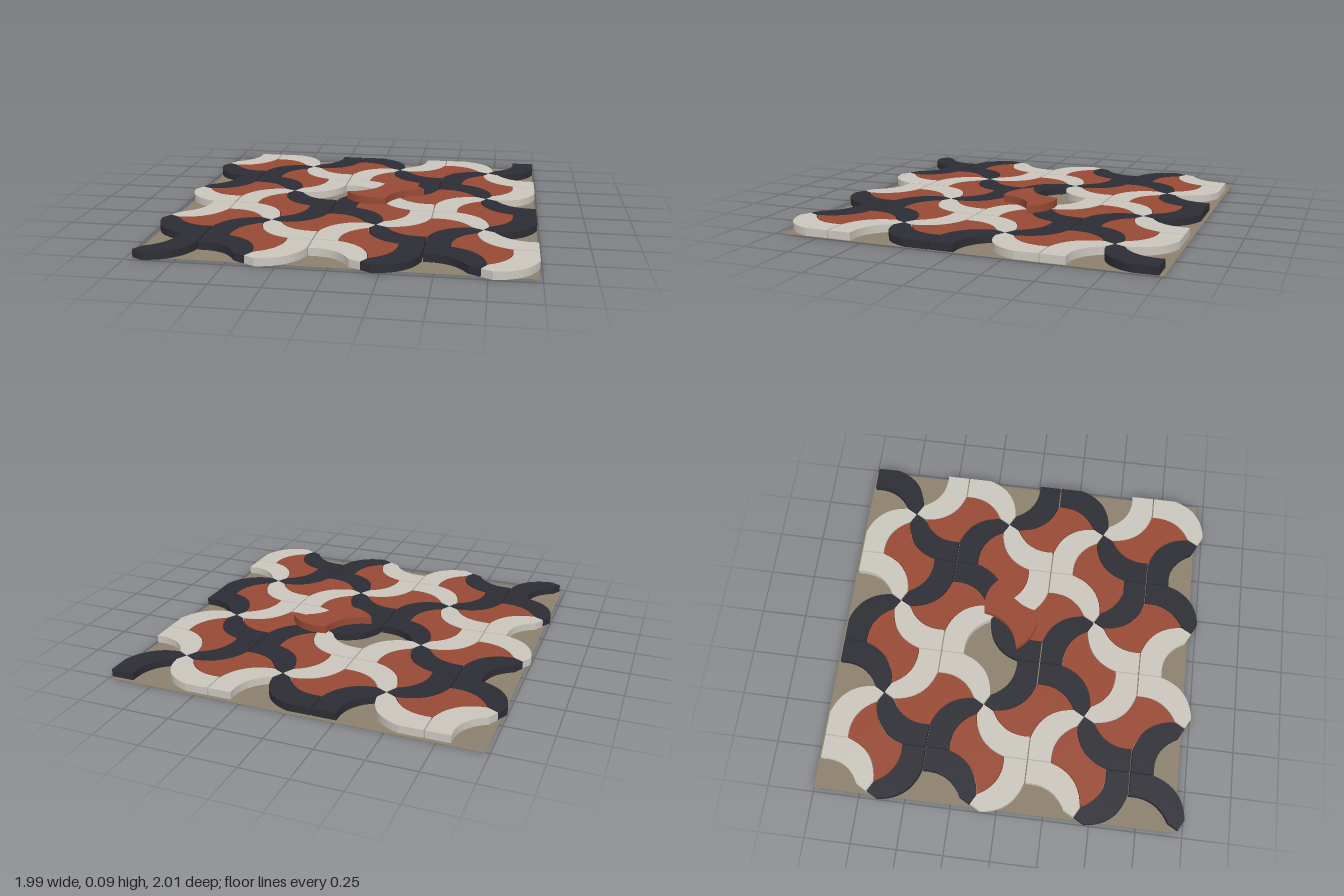
import * as THREE from 'three';

const STEP = 0.561, HALF = STEP / 2;   // lattice spacing of the tile crosses
const X0 = -0.689, Z0 = -0.989;        // first cross centre
const BOTTOM = 0.004, THICK = 0.041, INSET = 0.978;

const mat = (name, color, side = THREE.FrontSide) => {
  const m = new THREE.MeshStandardMaterial({ color, side });
  m.name = name;
  return m;
};

// Extrudes a plan shape upward and shrinks it about (cx, cz) to leave a joint
function tileGeometry(shape, cx = 0, cz = 0) {
  const g = new THREE.ExtrudeGeometry(shape, { depth: THICK, bevelEnabled: false, curveSegments: 10 });
  g.rotateX(-Math.PI / 2);
  g.translate(-cx, 0, -cz);
  g.scale(INSET, 1, INSET);
  g.translate(cx, 0, cz);
  return g;
}

// Curved arm running from a cross centre to a pinwheel centre
function armShape() {
  const s = new THREE.Shape();
  s.moveTo(0, 0);
  s.lineTo(0.127, 0);
  s.quadraticCurveTo(0.114, 0.153, 0.25, 0.224);
  s.lineTo(HALF, HALF);
  s.lineTo(0.224, 0.312);
  s.quadraticCurveTo(0.048, 0.297, 0, 0.127);
  s.closePath();
  return s;
}

// Four-cornered tile with two bulging and two hollow sides
function fillShape() {
  const s = new THREE.Shape();
  s.moveTo(0, 0.154);
  s.quadraticCurveTo(0.153, 0.167, 0.224, 0.032);
  s.quadraticCurveTo(0.048, 0.016, 0, -0.154);
  s.quadraticCurveTo(-0.153, -0.167, -0.224, -0.032);
  s.quadraticCurveTo(-0.048, -0.016, 0, 0.154);
  return s;
}

export function createModel() {
  const root = new THREE.Group();
  root.name = 'tiledFloor';
  const cream = mat('cream', 0xcbc7be);
  const dark = mat('charcoal', 0x2d2d35);
  const red = mat('terracotta', 0x984a34);
  const bed = mat('mortar', 0x8d816d, THREE.DoubleSide);

  const add = (geometry, material, name, x, y, z, turn = 0) => {
    const m = new THREE.Mesh(geometry, material);
    m.name = name;
    m.position.set(x, y, z);
    m.rotation.y = turn;
    root.add(m);
  };

  // Mortar bed
  const plane = new THREE.PlaneGeometry(1.967, 1.963).rotateX(-Math.PI / 2);
  add(plane, bed, 'mortarBed', 0.005, 0.001, -0.023);

  const arm = tileGeometry(armShape(), 0.14, -0.16);
  const fill = tileGeometry(fillShape());

  for (let i = 0; i < 4; i++) {
    for (let j = 0; j < 4; j++) {
      const x = X0 + i * STEP, z = Z0 + j * STEP;
      // Arms: 0 back right, 1 back left, 2 front left, 3 front right
      for (let k = 0; k < 4; k++) {
        const right = k === 0 || k === 3, back = k < 2;
        if ((i === 3 && right) || (j === 0 && back)) continue;
        add(arm, (i + j) % 2 ? dark : cream, 'armTile', x, BOTTOM, z, k * Math.PI / 2);
      }
      // Fill tiles in front of and beside each cross, leaving one empty socket
      if (i < 3 && j < 3 && !(i === 1 && j === 1)) add(fill, red, 'fillTile', x, BOTTOM, z + HALF);
      if (i < 3 && j > 0) add(fill, red, 'fillTile', x + HALF, BOTTOM, z, Math.PI / 2);
    }
  }

  // Loose tile lifted out of its socket
  add(fill, red, 'looseTile', 0.143, 0.054, -0.066, 0.12);
  return root;
}
